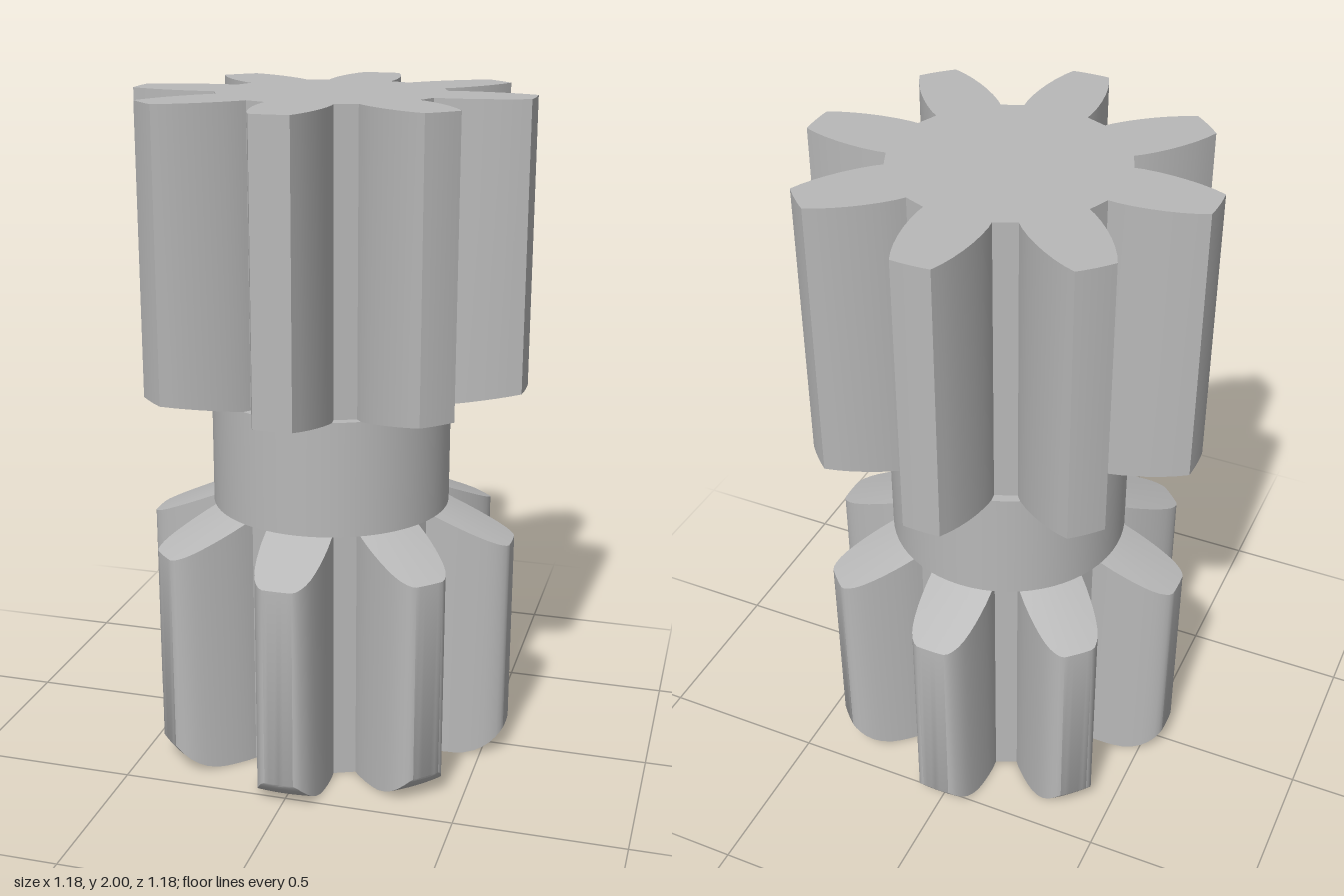
import * as THREE from 'three';
import { toCreasedNormals } from 'three/addons/utils/BufferGeometryUtils.js';

const TEETH = 8, COLS = 6;

// Gear whose teeth are swept outward through [radius, halfWidth] stations;
// topY(r) and bottomY(r) give the turned end profiles.
function gearGeometry(stations, topY, bottomY) {
  const pos = [];
  const tri = (a, b, c) => pos.push(...a, ...b, ...c);
  const quad = (a, b, c, d) => { tri(a, b, c); tri(a, c, d); };
  const last = stations.length - 1;
  const point = (k, i, j, yOf) => {
    const [r, w] = stations[i];
    const a = (k * 2 * Math.PI) / TEETH + Math.asin(w / r) * ((2 * j) / COLS - 1);
    return [r * Math.sin(a), yOf(r), r * Math.cos(a)];
  };
  const topCentre = [0, topY(stations[0][0]), 0];
  const bottomCentre = [0, bottomY(stations[0][0]), 0];

  for (let k = 0; k < TEETH; k++) {
    const t = (i, j) => point(k, i, j, topY);
    const b = (i, j) => point(k, i, j, bottomY);
    for (let j = 0; j < COLS; j++) {
      // core sector, tooth ends and tooth tip
      tri(topCentre, t(0, j), t(0, j + 1));
      tri(bottomCentre, b(0, j + 1), b(0, j));
      for (let i = 0; i < last; i++) {
        quad(t(i, j), t(i + 1, j), t(i + 1, j + 1), t(i, j + 1));
        quad(b(i, j), b(i, j + 1), b(i + 1, j + 1), b(i + 1, j));
      }
      quad(b(last, j), b(last, j + 1), t(last, j + 1), t(last, j));
    }
    // tooth flanks
    for (let i = 0; i < last; i++) {
      quad(b(i, COLS), t(i, COLS), t(i + 1, COLS), b(i + 1, COLS));
      quad(b(i, 0), b(i + 1, 0), t(i + 1, 0), t(i, 0));
    }
    // root between this tooth and the next
    const nt = point(k + 1, 0, 0, topY), nb = point(k + 1, 0, 0, bottomY);
    tri(topCentre, t(0, COLS), nt);
    tri(bottomCentre, nb, b(0, COLS));
    quad(b(0, COLS), nb, nt, t(0, COLS));
  }
  const geometry = new THREE.BufferGeometry();
  geometry.setAttribute('position', new THREE.Float32BufferAttribute(pos, 3));
  return toCreasedNormals(geometry, 0.6);
}

export function createModel() {
  const group = new THREE.Group();
  const steel = new THREE.MeshStandardMaterial({ color: 0xb8b8b8 });
  steel.name = 'grey steel';
  const add = (name, geometry) => {
    const mesh = new THREE.Mesh(geometry, steel);
    mesh.name = name;
    group.add(mesh);
    return mesh;
  };

  // Upper gear: flat top, shallow conical underside
  add('upperGear', gearGeometry(
    [[0.334, 0.096], [0.36, 0.099], [0.4, 0.099], [0.44, 0.096], [0.48, 0.09],
      [0.52, 0.081], [0.555, 0.07], [0.588, 0.056]],
    () => 2,
    (r) => 1.12 + ((r - 0.36) * 0.04) / 0.228,
  ));

  // Lower gear: conical top, rounded lower tooth ends and softened tips
  const fillet = 0.154;
  add('lowerGear', gearGeometry(
    [[0.334, 0.096], [0.36, 0.099], [0.4, 0.099], [0.43, 0.097], [0.46, 0.094], [0.49, 0.089],
      [0.515, 0.083], [0.535, 0.075], [0.55, 0.065], [0.56, 0.055], [0.565, 0.043]],
    (r) => 0.775 - ((r - 0.36) * 0.09) / 0.205,
    (r) => fillet - Math.sqrt(fillet ** 2 - Math.max(0, r - 0.43) ** 2),
  ));

  // Plain collar joining the two gears
  add('collar', new THREE.CylinderGeometry(0.36, 0.36, 0.345, 64)).position.y = 0.9475;

  return group;
}
